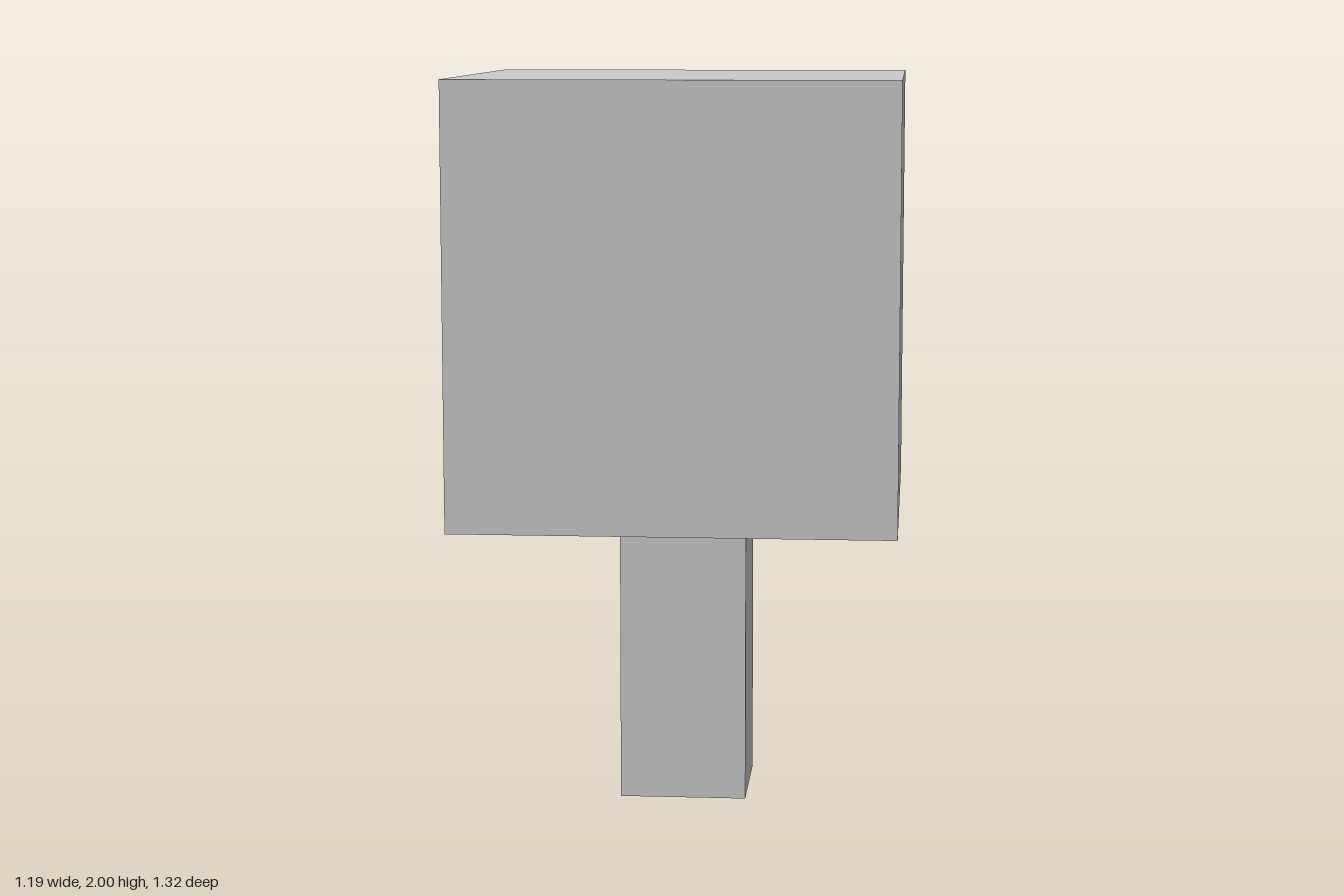
import * as THREE from 'three';

const material = new THREE.MeshStandardMaterial({ color: 0xcccccc, flatShading: true });

// Box spanning the given ranges on each axis
function block(name, [x0, x1], [y0, y1], [z0, z1]) {
  const mesh = new THREE.Mesh(new THREE.BoxGeometry(x1 - x0, y1 - y0, z1 - z0), material);
  mesh.position.set((x0 + x1) / 2, (y0 + y1) / 2, (z0 + z1) / 2);
  mesh.name = name;
  return mesh;
}

export function createModel() {
  const model = new THREE.Group();
  model.name = 'blockOnPost';
  model.add(
    block('head', [-0.593, 0.593], [0.815, 2], [-0.527, 0.66]),
    block('post', [-0.174, 0.174], [0, 0.815], [-0.105, 0.243]),
    // Slightly off-centre panel on the back of the head
    block('backPanel', [-0.228, 0.256], [1.163, 1.642], [-0.66, -0.527]),
  );
  return model;
}
